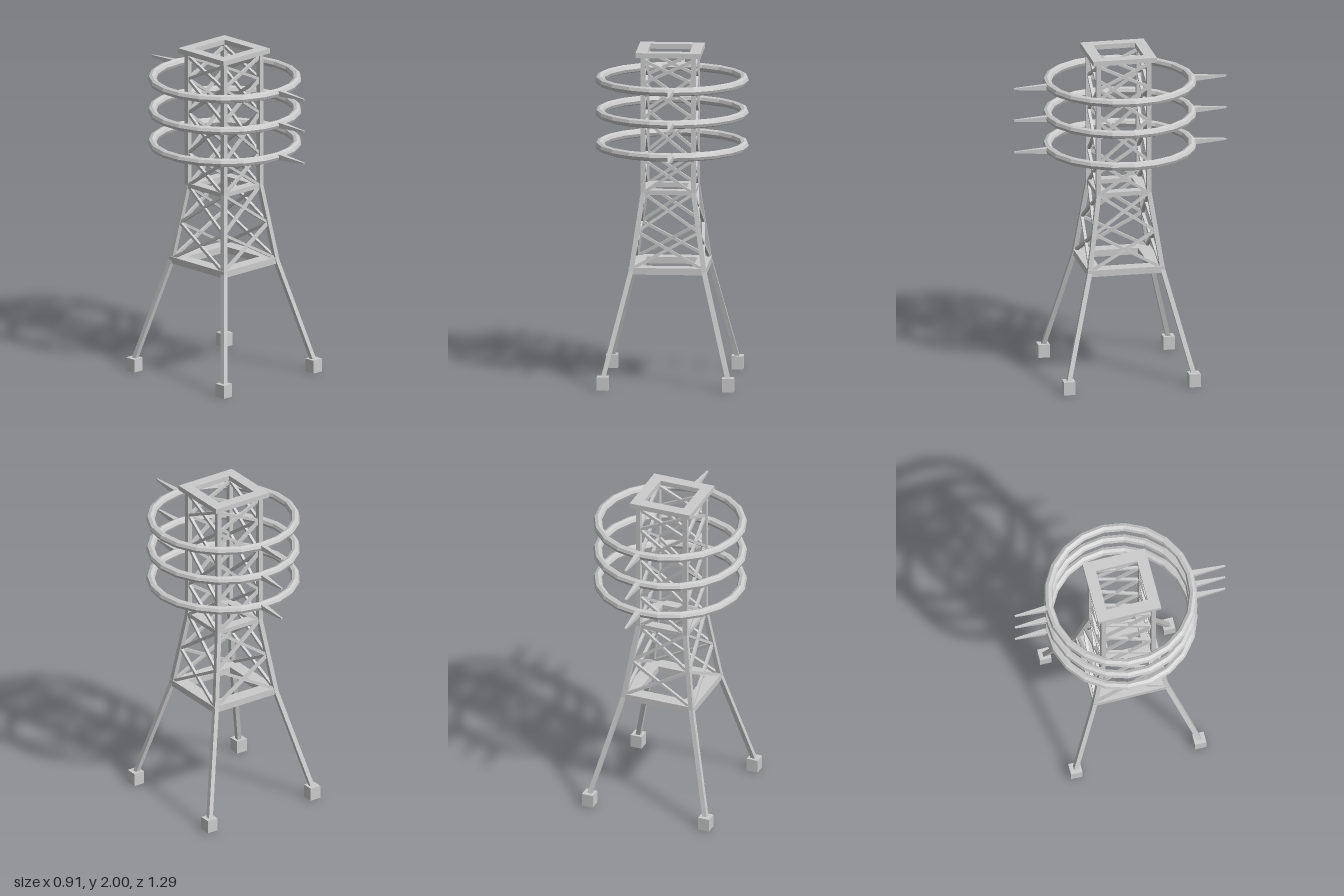
import * as THREE from 'three';

const material = new THREE.MeshStandardMaterial({ color: 0xcccccc, flatShading: true, side: THREE.DoubleSide });
const Y = new THREE.Vector3(0, 1, 0);

// Half spread of the legs at the heights where they bend
const levels = [[0.06, 0.374], [0.69, 0.217], [1.155, 0.15], [1.98, 0.15]];

function spreadAt(y) {
  for (let i = 1; i < levels.length; i++) {
    const [y0, s0] = levels[i - 1], [y1, s1] = levels[i];
    if (y <= y1) return s0 + (s1 - s0) * (y - y0) / (y1 - y0);
  }
  return levels[levels.length - 1][1];
}

function add(parent, geometry, name, x = 0, y = 0, z = 0) {
  const mesh = new THREE.Mesh(geometry, material);
  mesh.name = name;
  mesh.position.set(x, y, z);
  parent.add(mesh);
  return mesh;
}

// Straight square bar between two points
function bar(parent, a, b, size, name) {
  const dir = b.clone().sub(a);
  const mesh = add(parent, new THREE.BoxGeometry(size, dir.length(), size), name);
  mesh.position.copy(a).add(b).multiplyScalar(0.5);
  mesh.quaternion.setFromUnitVectors(Y, dir.normalize());
}

// Bent leg: a square column whose rings of corners follow the spread
function legGeometry(sx, sz) {
  const geo = new THREE.BoxGeometry(0.028, 3, 0.028, 1, 3, 1);
  const p = geo.attributes.position;
  for (let i = 0; i < p.count; i++) {
    const [y, s] = levels[Math.round(p.getY(i) + 1.5)];
    p.setXYZ(i, p.getX(i) + sx * s, y, p.getZ(i) + sz * s * 1.02);
  }
  geo.computeVertexNormals();
  return geo;
}

// Flat square frame with a square opening
function frame(parent, half, hole, bottom, height, name) {
  const square = (Type, h) => new Type([[-h, -h], [h, -h], [h, h], [-h, h]].map(q => new THREE.Vector2(...q)));
  const shape = square(THREE.Shape, half);
  shape.holes.push(square(THREE.Path, hole));
  const geo = new THREE.ExtrudeGeometry(shape, { depth: height, bevelEnabled: false });
  geo.rotateX(-Math.PI / 2);
  add(parent, geo, name, 0, bottom, 0);
}

export function createModel() {
  const model = new THREE.Group();
  model.name = 'latticeTower';
  const tower = new THREE.Group();
  tower.name = 'tower';
  tower.position.set(-0.013, 0, 0.002);
  model.add(tower);

  // Legs and feet
  for (const sx of [-1, 1]) {
    for (const sz of [-1, 1]) {
      add(tower, legGeometry(sx, sz), 'leg');
      add(tower, new THREE.BoxGeometry(0.07, 0.08, 0.07), 'foot', sx * 0.373, 0.04, sz * 0.38);
    }
  }

  // Horizontal frames
  frame(tower, 0.231, 0.15, 0.67, 0.04, 'lowerFrame');
  frame(tower, 0.162, 0.102, 1.14, 0.027, 'middleFrame');
  frame(tower, 0.193, 0.126, 1.97, 0.03, 'topFrame');

  // Cross braces on all four faces
  const nodes = [0.7, 0.92, 1.15, 1.35, 1.6, 1.81, 1.95];
  for (let face = 0; face < 4; face++) {
    const side = new THREE.Group();
    side.name = 'braces';
    side.rotation.y = face * Math.PI / 2;
    tower.add(side);
    for (let i = 0; i + 1 < nodes.length; i++) {
      const [y0, y1] = [nodes[i], nodes[i + 1]];
      const [s0, s1] = [spreadAt(y0), spreadAt(y1)];
      for (const m of [-1, 1]) {
        bar(side, new THREE.Vector3(-m * s0, y0, s0), new THREE.Vector3(m * s1, y1, s1), 0.017, 'brace');
      }
    }
  }

  // Rings, each with a tapered square spike at front and back
  for (const y of [1.81, 1.613, 1.415]) {
    const ring = new THREE.TorusGeometry(0.432, 0.026, 8, 21);
    ring.rotateX(Math.PI / 2);
    add(model, ring, 'ring', -0.003, y, -0.003);
    for (const s of [-1, 1]) {
      const spike = new THREE.CylinderGeometry(0.007, 0.025, 0.215, 4);
      spike.rotateY(Math.PI / 4);
      spike.rotateX(s * Math.PI / 2);
      add(model, spike, 'spike', 0.022, y, s * 0.5375);
    }
  }
  return model;
}
